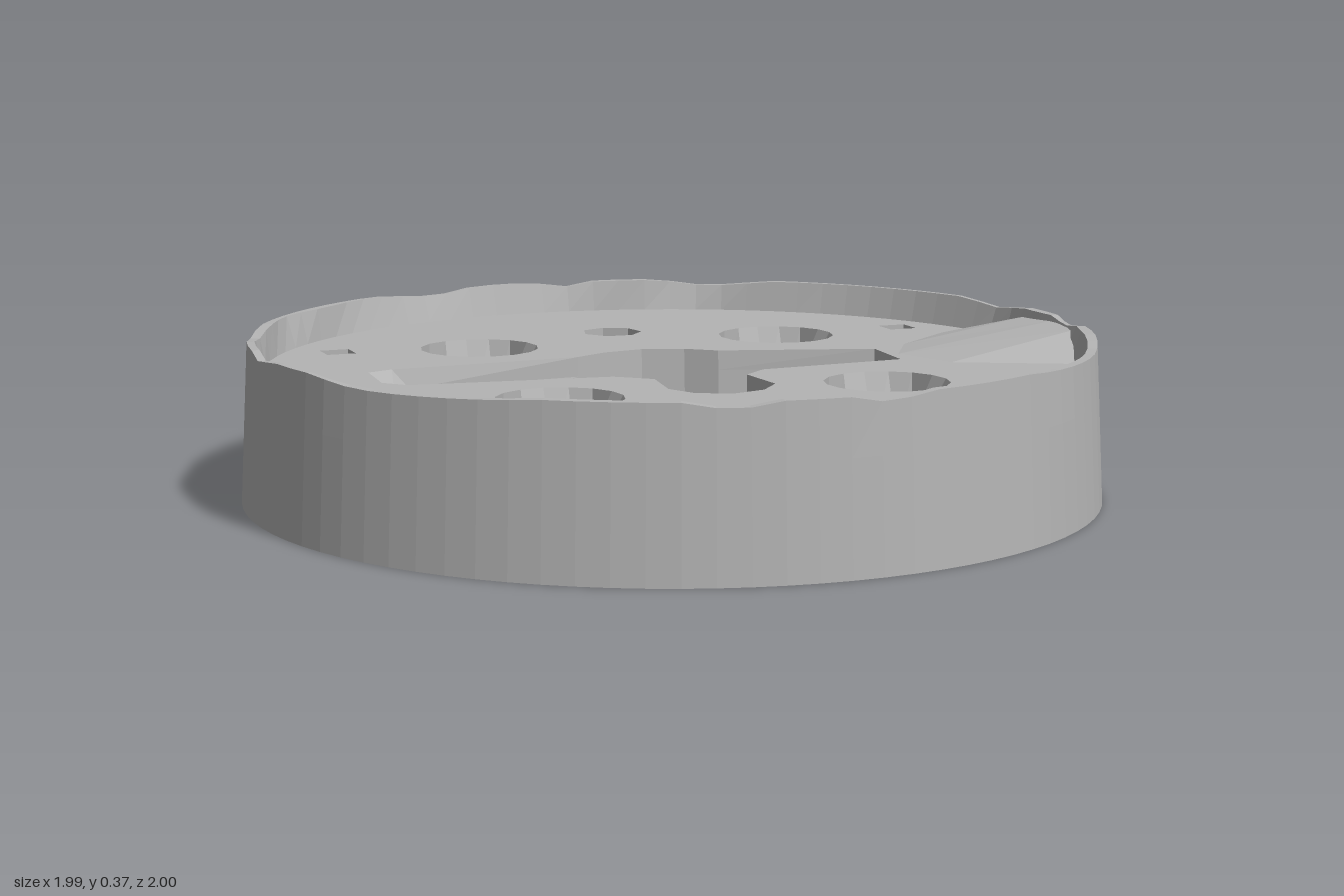
import * as THREE from 'three';

const FLOOR = 0.297, TOP = 0.374, ROOF = 0.25, RAMP = 0.18, POCKET = 0.15, SEAT = 0.14;
const BASE = 0.075;  // height of the hollowed underside
const MOUTH = 0.13;  // half angle of the side opening

const metal = new THREE.MeshStandardMaterial({ color: 0xb4b4b4, flatShading: true, side: THREE.DoubleSide });
metal.name = 'plain grey';

// Paths are lists of [x, z]; at() lifts one to a height, or to a height given by a rule
const at = (path, y) => path.map(([x, z]) => [x, typeof y === 'function' ? y(x, z) : y, z]);
const arc = (r, from, to, n, cx = 0, cz = 0) => Array.from({ length: n + 1 }, (_, i) => {
  const a = from + (to - from) * i / n;
  const radius = typeof r === 'function' ? r(a) : r;
  return [cx + radius * Math.cos(a), cz + radius * Math.sin(a)];
});
const ring = (r, n, cx, cz, turn = 0) => arc(r, turn, turn + Math.PI * 2, n, cx, cz).slice(0, n);
const close = (path) => [...path, path[0]];

// Strip of quads between two paths with equal point counts
function strip(lower, upper) {
  const v = [];
  for (let i = 0; i < lower.length - 1; i++) {
    v.push(...lower[i], ...lower[i + 1], ...upper[i + 1], ...lower[i], ...upper[i + 1], ...upper[i]);
  }
  const g = new THREE.BufferGeometry();
  g.setAttribute('position', new THREE.Float32BufferAttribute(v, 3));
  g.computeVertexNormals();
  return g;
}

// Flat horizontal face with holes
function face(outline, holes, y, up) {
  const s = up ? -1 : 1;
  const pts = (p) => p.map(([x, z]) => new THREE.Vector2(x, s * z));
  const shape = new THREE.Shape(pts(outline));
  shape.holes = holes.map((h) => new THREE.Path(pts(h)));
  return new THREE.ShapeGeometry(shape).rotateX(s * Math.PI / 2).translate(0, y, 0);
}

// Central slot: above RAMP its blind end runs outward as a shallow slope
function slot(y, withPocket) {
  const t = Math.max(0, (y - RAMP) / (FLOOR - RAMP));
  const lean = 0.015 * y / FLOOR;
  const middle = withPocket
    ? [[0.12, 0.19], [0.14, 0.33], [0.09, 0.4], [0.01, 0.43], [-0.07, 0.4], [-0.11, 0.33], [-0.1, 0.19]]
    : [[0.12, 0.19], [0, 0.22], [-0.1, 0.19]];
  return [
    [0.54, 0.08], [0.18, 0.13], ...middle, [-0.18, 0.13],
    [-0.55 - 0.1 * t, 0.09 + 0.02 * t], [-0.56 - 0.15 * t, 0.05],
    [-0.56 - 0.14 * t, -0.05 - 0.04 * t], [-0.54 - 0.1 * t, -0.1 - 0.02 * t],
    [-0.18, -0.16 - lean], [-0.1, -0.21 - lean], [0, -0.235 - lean],
    [0.1, -0.21 - lean], [0.17, -0.16 - lean], [0.54, -0.09],
  ];
}

export function createModel() {
  const group = new THREE.Group();
  group.name = 'slottedDisc';
  const add = (name, geometry) => {
    const mesh = new THREE.Mesh(geometry, metal);
    mesh.name = name;
    group.add(mesh);
  };

  // Outer edge, slightly tapered, with an opening at +x
  const edgeRadius = (y) => 1 - 0.02 * y / TOP;
  const body = (r) => arc(r, MOUTH, Math.PI * 2 - MOUTH, 84);
  const lip = (r) => arc(r, -MOUTH, MOUTH, 6);
  const full = (r) => [...lip(r), ...body(r).slice(1)];
  const bodyLow = body(edgeRadius(0)), bodyMid = body(edgeRadius(ROOF));
  const rimHeight = (x, z) => {
    const a = Math.atan2(z, x);
    return TOP - 0.014 * Math.max(0, Math.sin(11 * a + 2 * Math.sin(4 * a)));
  };
  const rimOuter = at(full(edgeRadius(TOP)), rimHeight);
  add('outerWallLower', strip(at(bodyLow, 0).reverse(), at(bodyMid, ROOF).reverse()));
  add('outerWallUpper', strip(at(full(edgeRadius(ROOF)), ROOF).reverse(), [...rimOuter].reverse()));

  // Thin uneven rim around the recessed top
  const uneven = (a) => 0.962 + 0.007 * Math.sin(9 * a + 2 * Math.sin(5 * a));
  const rimInner = at(full(uneven), rimHeight);
  add('rimTop', strip(rimInner, rimOuter));
  add('rimInnerWall', strip(at(full(0.947), FLOOR), rimInner));

  // Bolt holes: round seat with two inward ribs, small square hole below
  const seats = [], boltHoles = [], dimples = [];
  for (const x of [-0.37, 0.39]) {
    for (const z of [-0.385, 0.375]) {
      const wide = ring(0.143, 16, x, z);
      const ribbed = wide.map(([px, pz]) => [
        Math.abs(pz - z) < 0.06 ? Math.min(px, x + 0.062) : px,
        Math.abs(px - x) < 0.06 ? Math.max(pz, z - 0.072) : pz,
      ]);
      const small = ring(0.082, 4, x, z - 0.01, Math.PI / 4);
      seats.push(wide);
      boltHoles.push(small);
      add('boltSeatWall', strip(at(close(ribbed), SEAT), at(close(wide), FLOOR)));
      add('boltSeat', face(ribbed, [small], SEAT, true));
      add('boltHoleWall', strip(at(close(small), BASE), at(close(small), SEAT)));
    }
  }

  // Small blind dimples near the rim
  for (const x of [-0.71, 0.73]) {
    for (const z of [-0.42, 0.44]) {
      const d = ring(0.05, 4, x, z, 0.7);
      dimples.push(d);
      add('dimpleWall', strip(at(close(d), 0.22), at(close(d), FLOOR)));
      add('dimpleFloor', face(d, [], 0.22, true));
    }
  }

  // Through hole at the back
  const pin = ring(0.075, 7, 0.01, -0.55, 0.2);
  add('pinHoleWall', strip(at(close(pin), BASE), at(close(pin), FLOOR)));

  // Hollowed underside: flat centre and a gentle slope down to the outer edge
  const dish = arc(0.72, 0.138, Math.PI * 2 - 0.147, 84);
  add('underside', face([...dish, ...slot(BASE, false).reverse()], [pin, ...boltHoles], BASE, false));
  add('undersideSlope', strip(at(bodyLow, 0), at(dish, BASE)));

  // Slot walls: open into the side tunnel below the roof, closed above it
  const tunnelPath = (y, withPocket) => {
    const edge = body(edgeRadius(y));
    return [edge[0], dish[0], ...slot(y, withPocket), dish[84], edge[84]];
  };
  const underEdge = (x) => (x > 0.9 ? 0 : BASE);
  add('slotWallLower', strip(at(tunnelPath(0, false), underEdge), at(tunnelPath(POCKET, false), POCKET)));
  for (const [low, high] of [[POCKET, RAMP], [RAMP, ROOF]]) {
    add('slotWallMiddle', strip(at(tunnelPath(low, true), low), at(tunnelPath(high, true), high)));
  }
  const slotTop = slot(FLOOR, true);
  add('slotWallUpper', strip(at(close(slot(ROOF, true)), ROOF), at(close(slotTop), FLOOR)));
  add('tunnelRoof', face([[0.54, -0.09], ...lip(edgeRadius(ROOF)), [0.54, 0.08]], [], ROOF, false));

  // Round pocket beside the slot
  add('pocketFloor', face([...slot(POCKET, true).slice(2, 9), [0, 0.22]], [], POCKET, true));

  // Recessed top
  add('topFace', face(full(0.947).slice(0, -1), [slotTop, pin, ...seats, ...dimples], FLOOR, true));

  // Low swelling above the tunnel, rising to the rim
  const foot = FLOOR - 0.001;
  add('tunnelSwelling', strip(
    [[0.8, foot, -0.3], [0.63, foot, -0.14], [0.56, foot, 0], [0.63, foot, 0.16], [0.75, foot, 0.28]],
    [[0.9, foot, -0.28], [0.96, 0.355, -0.13], [0.965, 0.36, 0], [0.96, 0.355, 0.13], [0.9, foot, 0.27]]));

  return group;
}
